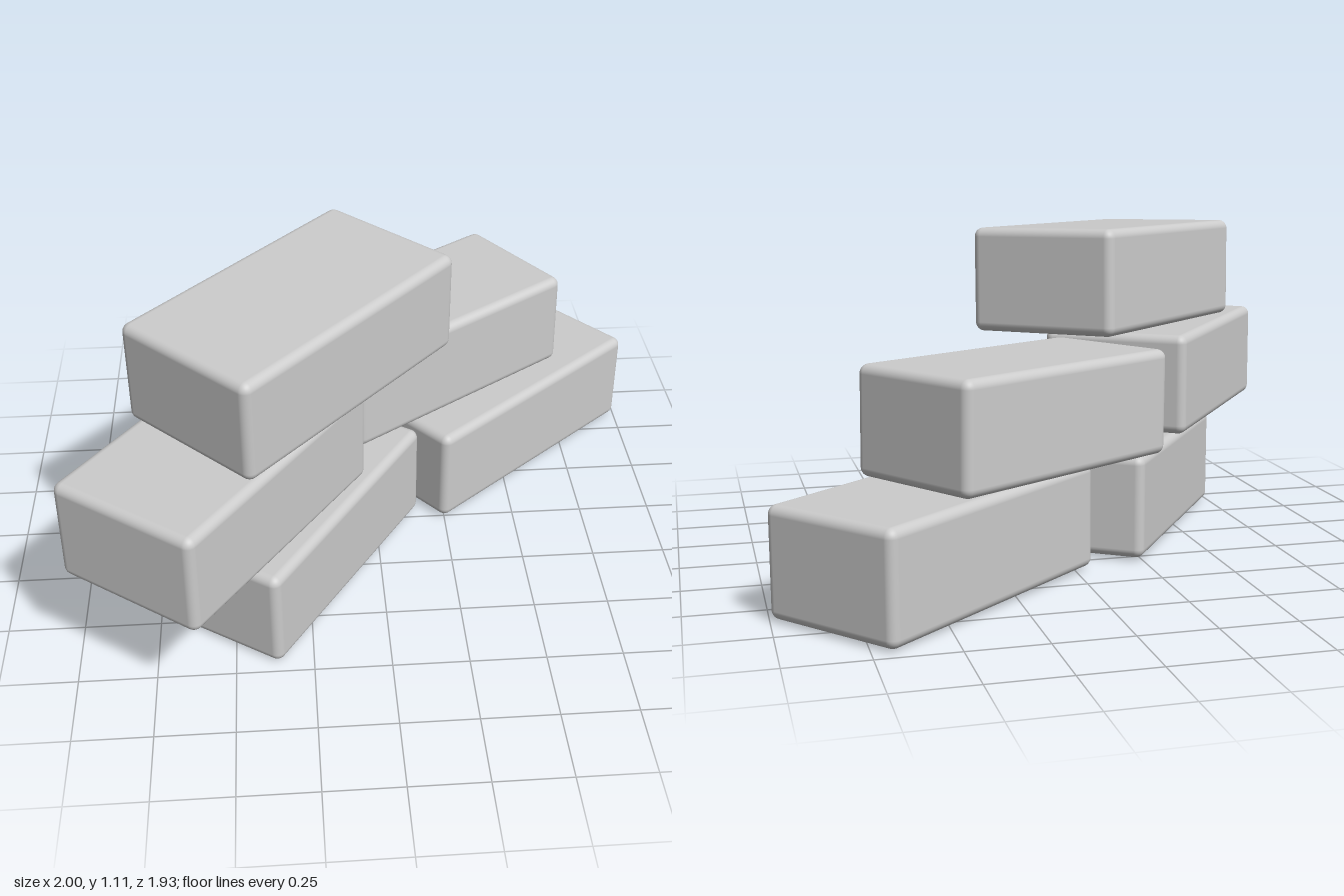
import * as THREE from 'three';
import { RoundedBoxGeometry } from 'three/addons/geometries/RoundedBoxGeometry.js';

const HEIGHT = 0.347;
const EDGE = 0.03;

// Each brick: name, length, depth, centre, yaw in degrees, small tilts (roll, pitch)
const BRICKS = [
  { name: 'bottomBrickRight', length: 0.935, depth: 0.485, at: [-0.3, 0.184, 0.2], yaw: 56, roll: 0.002, pitch: 0.009 },
  { name: 'bottomBrickLeft', length: 0.99, depth: 0.49, at: [0.47, 0.187, -0.475], yaw: 40, roll: 0, pitch: -0.005 },
  { name: 'middleBrickRight', length: 0.935, depth: 0.52, at: [-0.53, 0.553, 0.44], yaw: 53.9, roll: 0.004, pitch: -0.005 },
  { name: 'middleBrickLeft', length: 0.93, depth: 0.475, at: [0.195, 0.553, -0.38], yaw: 33.6, roll: 0, pitch: 0.014 },
  { name: 'topBrick', length: 0.975, depth: 0.525, at: [-0.272, 0.924, 0.197], yaw: 46, roll: 0.02, pitch: 0.02 },
];

export function createModel() {
  const model = new THREE.Group();
  model.name = 'brickStack';
  const material = new THREE.MeshStandardMaterial({ color: 0xcccccc });

  // Loosely stacked bricks with softly rounded edges
  for (const { name, length, depth, at, yaw, roll, pitch } of BRICKS) {
    const brick = new THREE.Mesh(new RoundedBoxGeometry(length, HEIGHT, depth, 4, EDGE), material);
    brick.name = name;
    brick.position.set(...at);
    brick.rotation.set(roll, THREE.MathUtils.degToRad(yaw), pitch, 'YXZ');
    model.add(brick);
  }
  return model;
}
